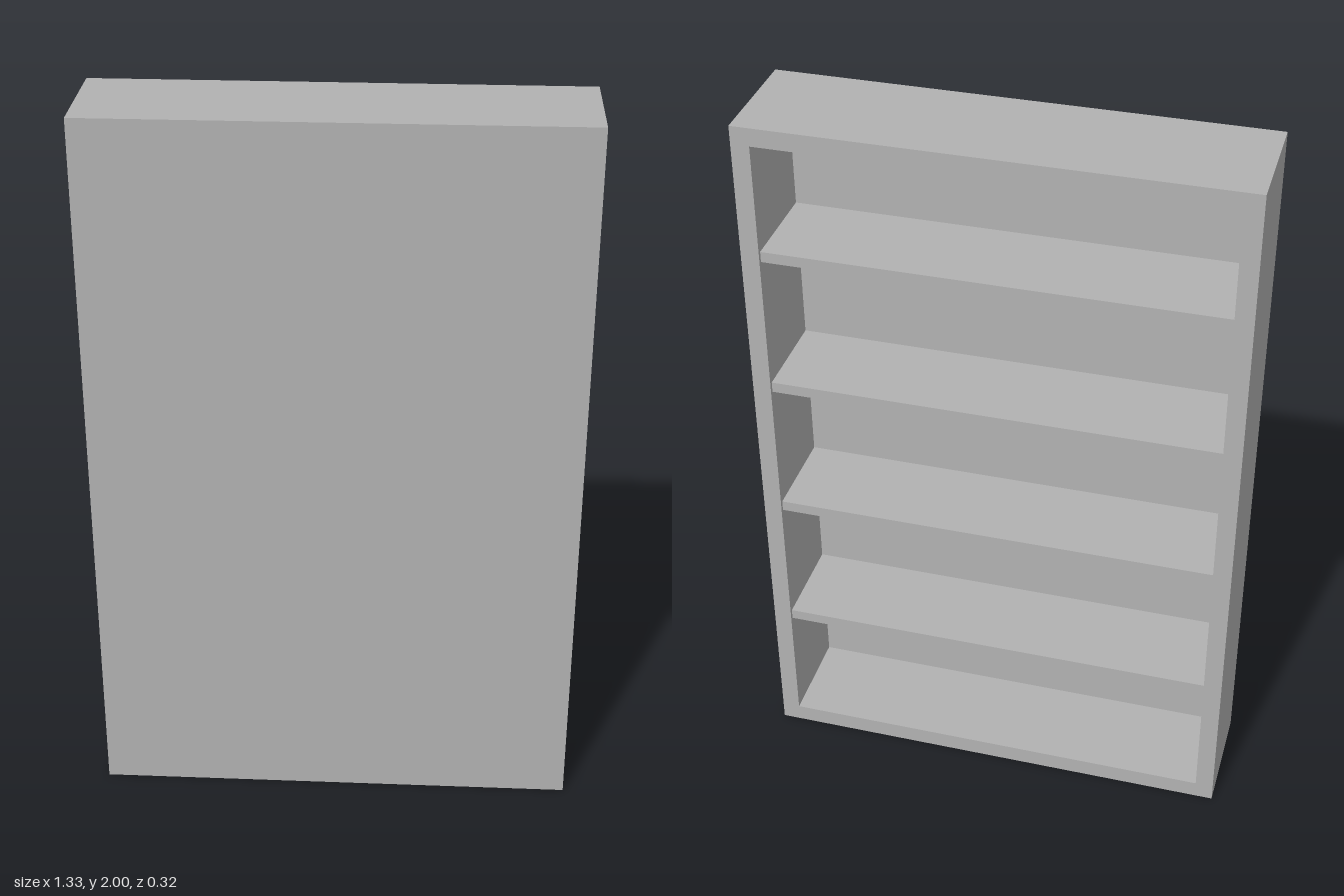
import * as THREE from 'three';

export function createModel() {
  const model = new THREE.Group();
  model.name = 'bookcase';

  const grey = new THREE.MeshStandardMaterial({ color: 0xb2b2b2 });
  grey.name = 'grey';

  const W = 1.325, H = 2, D = 0.325; // overall size
  const T = 0.05;                    // board thickness

  const backZ = -D / 2, frontZ = D / 2;

  function addBox(name, w, h, d, x, y, z) {
    const mesh = new THREE.Mesh(new THREE.BoxGeometry(w, h, d), grey);
    mesh.name = name;
    mesh.position.set(x, y, z);
    model.add(mesh);
  }

  // Closed frame: ring of four boards, open toward -z
  const outline = new THREE.Shape([
    new THREE.Vector2(-W / 2, 0), new THREE.Vector2(W / 2, 0),
    new THREE.Vector2(W / 2, H), new THREE.Vector2(-W / 2, H),
  ]);
  outline.holes.push(new THREE.Path([
    new THREE.Vector2(-W / 2 + T, T), new THREE.Vector2(-W / 2 + T, H - T),
    new THREE.Vector2(W / 2 - T, H - T), new THREE.Vector2(W / 2 - T, T),
  ]));
  const frame = new THREE.Mesh(
    new THREE.ExtrudeGeometry(outline, { depth: D, bevelEnabled: false }), grey);
  frame.name = 'frame';
  frame.position.z = backZ;
  model.add(frame);

  // Panel closing the +z side, flush with the frame
  addBox('panel', W - 2 * T, H - 2 * T, T, 0, H / 2, frontZ - T / 2);

  // Four thin shelves, set slightly back from the open edge
  const shelfT = 0.03, recess = 0.01;
  const shelfD = D - T - recess;
  for (let i = 0; i < 4; i++) {
    addBox('shelf' + (i + 1), W - 2 * T, shelfT, shelfD,
      0, 0.415 + i * 0.405, backZ + recess + shelfD / 2);
  }

  return model;
}
